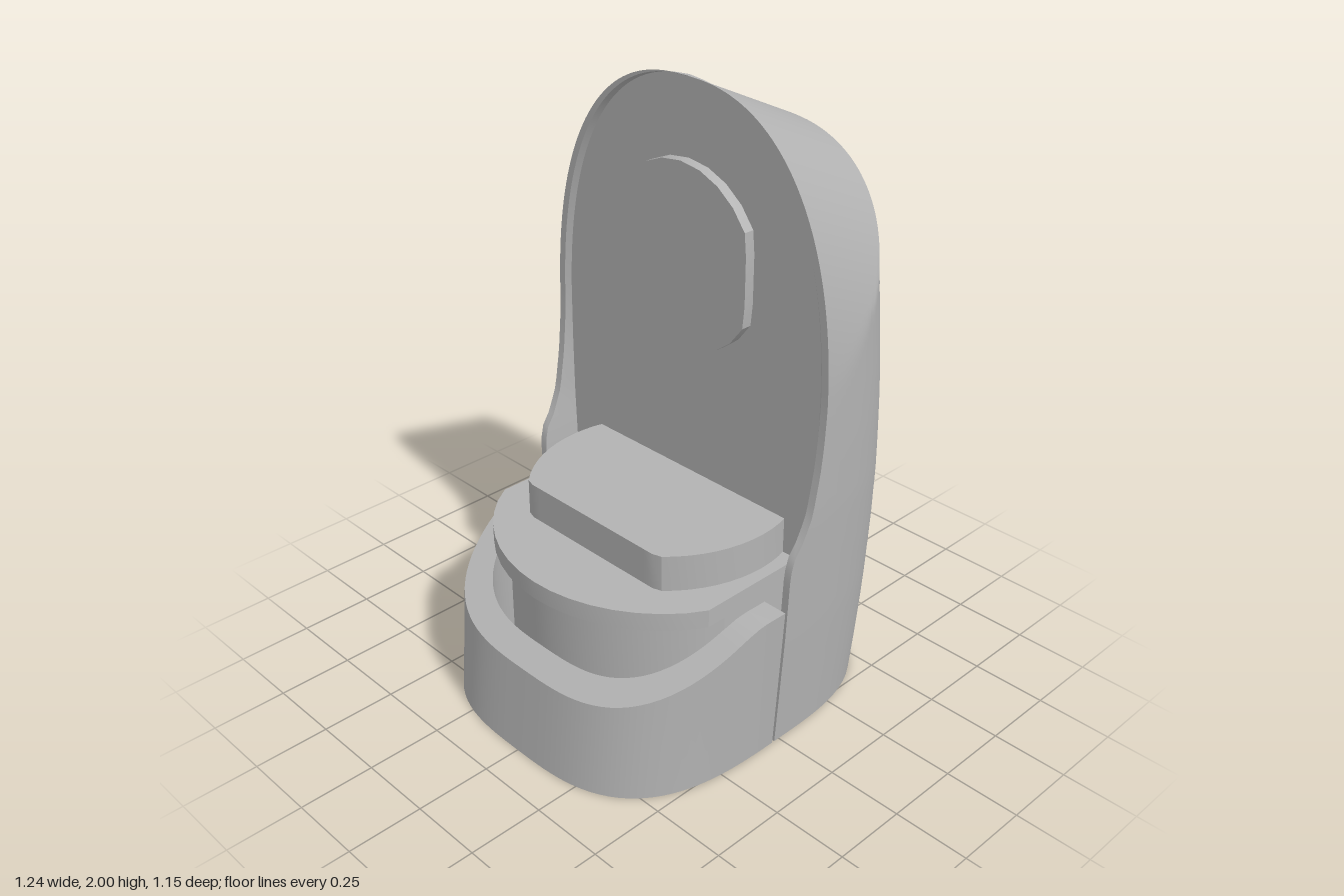
import * as THREE from 'three';
import { toCreasedNormals } from 'three/addons/utils/BufferGeometryUtils.js';

const grey = new THREE.MeshStandardMaterial({ color: 0xb3b3b3, side: THREE.DoubleSide });
grey.name = 'grey plastic';

// piecewise-linear lookup in [[key, value], ...]
function lookup(table, k) {
  for (let i = 1; i < table.length; i++) {
    const [k0, v0] = table[i - 1], [k1, v1] = table[i];
    if (k <= k1) return v0 + (v1 - v0) * (k - k0) / (k1 - k0);
  }
  return table[table.length - 1][1];
}
const BACK = [[0, 0.585], [0.15, 0.6], [0.3, 0.61], [0.6, 0.62], [0.75, 0.618], [0.9, 0.61], [1.05, 0.6], [1.15, 0.59], [1.4, 0.552], [1.8, 0.49], [2, 0.46]];
const WIDTH = [[0, 0.53], [0.4, 0.555], [0.8, 0.572], [1, 0.575], [2, 0.575]];
const FRONT = [[0, -0.02], [0.63, -0.02], [0.67, -0.015], [0.7, -0.005], [0.74, 0.025], [0.82, 0.058], [0.95, 0.08], [1.05, 0.09], [1.15, 0.095], [2, 0.095]];

// rounded-square plan of the whole body at height y
function inside(x, y, z) {
  const a = x > 0 ? lookup(BACK, y) : 0.625 - 0.14 * y;
  return Math.abs(x / a) ** 3.1 + Math.abs(z / lookup(WIDTH, y)) ** 3.1 <= 1;
}

// largest distance that still passes the test
function bisect(test) {
  let lo = 0, hi = 0.95;
  for (let i = 0; i < 30; i++) {
    const r = (lo + hi) / 2;
    if (test(r)) lo = r; else hi = r;
  }
  return lo;
}
const reach = (xc, y, t) => bisect(r => inside(xc + r * Math.cos(t), y, r * Math.sin(t)));

// skin over a list of equally long point rows
function loft(rows, closed, crease) {
  const n = rows[0].length, index = [];
  for (let i = 0; i < rows.length - 1; i++) {
    for (let j = 0; j < (closed ? n : n - 1); j++) {
      const k = (j + 1) % n;
      const a = i * n + j, b = i * n + k, c = b + n, d = a + n;
      index.push(a, d, c, a, c, b);
    }
  }
  const g = new THREE.BufferGeometry();
  g.setAttribute('position', new THREE.Float32BufferAttribute(rows.flat(2), 3));
  g.setIndex(index);
  return toCreasedNormals(g, crease);
}

// disc with flattened sides, lying flat from y0 to y1
function clippedDisc(r, xMin, xMax, zMax, y0, y1, segments = 48) {
  const pts = [];
  for (let i = 0; i < segments; i++) {
    const t = (i / segments) * Math.PI * 2;
    pts.push(new THREE.Vector2(
      THREE.MathUtils.clamp(r * Math.cos(t), xMin, xMax),
      THREE.MathUtils.clamp(r * Math.sin(t), -zMax, zMax)));
  }
  const g = new THREE.ExtrudeGeometry(new THREE.Shape(pts), { depth: y1 - y0, bevelEnabled: false });
  g.rotateX(-Math.PI / 2).translate(0, y0, 0);
  return toCreasedNormals(g, 0.4);
}

// tall back shell: rows tilt with the sloping crown, so one column follows the crown's edge
function shellGeometry() {
  const rows = [], levels = 72, side = 16, back = 20, panelX = 0.11;
  for (let i = 0; i <= levels; i++) {
    const level = 2 * (1 - (1 - i / levels) ** 1.7);
    const xf = lookup(FRONT, level);
    const slope = 0.46 * THREE.MathUtils.smoothstep(level, 0, 1.1);
    const rise = Math.max(0, (level - 1.1) / 0.9);
    const cap = rise > 0 ? 0.575 * Math.max(0, 1 - rise ** 2.4) ** (1 / 2.4) : 1;
    const heightAt = x => level - slope * (x - xf);
    const fits = (x, z) => z <= cap && inside(x, heightAt(x), z);

    // angle at which the arch meets the back
    const depth = bisect(r => fits(xf + r, cap));
    const corner = Math.min(Math.atan2(cap, depth), 1.2);
    const half = [];
    for (let j = 0; j <= back; j++) half.push(corner * j / back);
    for (let j = 1; j <= side; j++) half.push(corner + (Math.PI / 2 - corner) * (j / side) ** 2);

    const leftSide = half.map(t => {
      const r = bisect(d => fits(xf + d * Math.cos(t), d * Math.sin(t) - 1e-7));
      const x = xf + r * Math.cos(t);
      return [x, heightAt(x), r * Math.sin(t)];
    });
    const rightSide = leftSide.slice(1).reverse().map(([x, y, z]) => [x, y, -z]);

    // thin rim and recessed front panel
    const edge = leftSide[leftSide.length - 1][2];
    const rim = Math.max(edge - 0.025, 0), wall = Math.max(edge - 0.04, 0);
    const panelY = Math.max(level, 0.06);
    rows.push([...rightSide, ...leftSide,
      [xf, level, rim], [panelX, panelY, wall], [panelX, panelY, -wall], [xf, level, -rim]]);
  }
  return loft(rows, true, 0.6);
}

// low curved skirt around the front of the base, with a sloping top
function skirtGeometry() {
  const rows = [[], [], [], []], steps = 64, xc = -0.03;
  const top = x => lookup([[-0.585, 0.29], [-0.2, 0.485], [-0.15, 0.505], [-0.11, 0.512], [0, 0.512]], Math.max(x, -0.585));
  for (let j = 0; j <= steps; j++) {
    const t = Math.PI / 2 + (j / steps) * Math.PI;
    const c = Math.cos(t), s = Math.sin(t);
    const r0 = reach(xc, 0, t);
    let h = 0.4, r = 0;
    for (let k = 0; k < 10; k++) {
      r = reach(xc, h, t);
      h = top(xc + r * c);
    }
    const ri = r * 0.85, hi = top(xc + ri * c);
    rows[0].push([xc + r0 * c, 0, r0 * s]);
    rows[1].push([xc + r * c, h, r * s]);
    rows[2].push([xc + ri * c, hi, ri * s]);
    rows[3].push([xc + ri * c, 0.03, ri * s]);
  }
  return loft(rows, false, 0.5);
}

// underside plate with a round recess
function bottomGeometry() {
  const pts = [];
  for (let j = 0; j < 96; j++) {
    const t = (j / 96) * Math.PI * 2, r = reach(0, 0, t) * 0.985;
    pts.push(new THREE.Vector2(r * Math.cos(t), r * Math.sin(t)));
  }
  const shape = new THREE.Shape(pts);
  shape.holes.push(new THREE.Path().absarc(0, 0, 0.46, 0, Math.PI * 2, true));
  const g = new THREE.ExtrudeGeometry(shape, { depth: 0.045, bevelEnabled: false, curveSegments: 32 });
  return toCreasedNormals(g.rotateX(-Math.PI / 2).translate(0, 0.006, 0), 0.4);
}

export function createModel() {
  const model = new THREE.Group();
  model.name = 'dockingStand';
  const add = (name, geometry) => {
    const mesh = new THREE.Mesh(geometry, grey);
    mesh.name = name;
    model.add(mesh);
    return mesh;
  };

  add('backShell', shellGeometry());
  add('frontSkirt', skirtGeometry());

  // stepped platform
  add('pedestal', clippedDisc(0.49, -1, 0.12, 0.45, 0.05, 0.55)).position.z = 0.01;
  add('platformFlange', clippedDisc(0.54, -1, 0.12, 0.465, 0.54, 0.6)).position.z = 0.01;
  add('platformBlock', clippedDisc(0.425, -0.31, 0.12, 1, 0.6, 0.72, 64)).position.z = 0.01;

  // round pad on the upright panel
  const pad = clippedDisc(0.298, -1, 1, 0.265, 0, 0.04, 24);
  add('panelPad', pad.rotateZ(Math.PI / 2).translate(0.115, 1.457, 0));

  // underside
  add('bottomPlate', bottomGeometry());
  add('recessFloor', clippedDisc(0.47, -1, 1, 1, 0.046, 0.06));
  add('bottomBoss', clippedDisc(0.33, -0.29, 1, 0.3, 0.01, 0.05, 32));
  return model;
}
